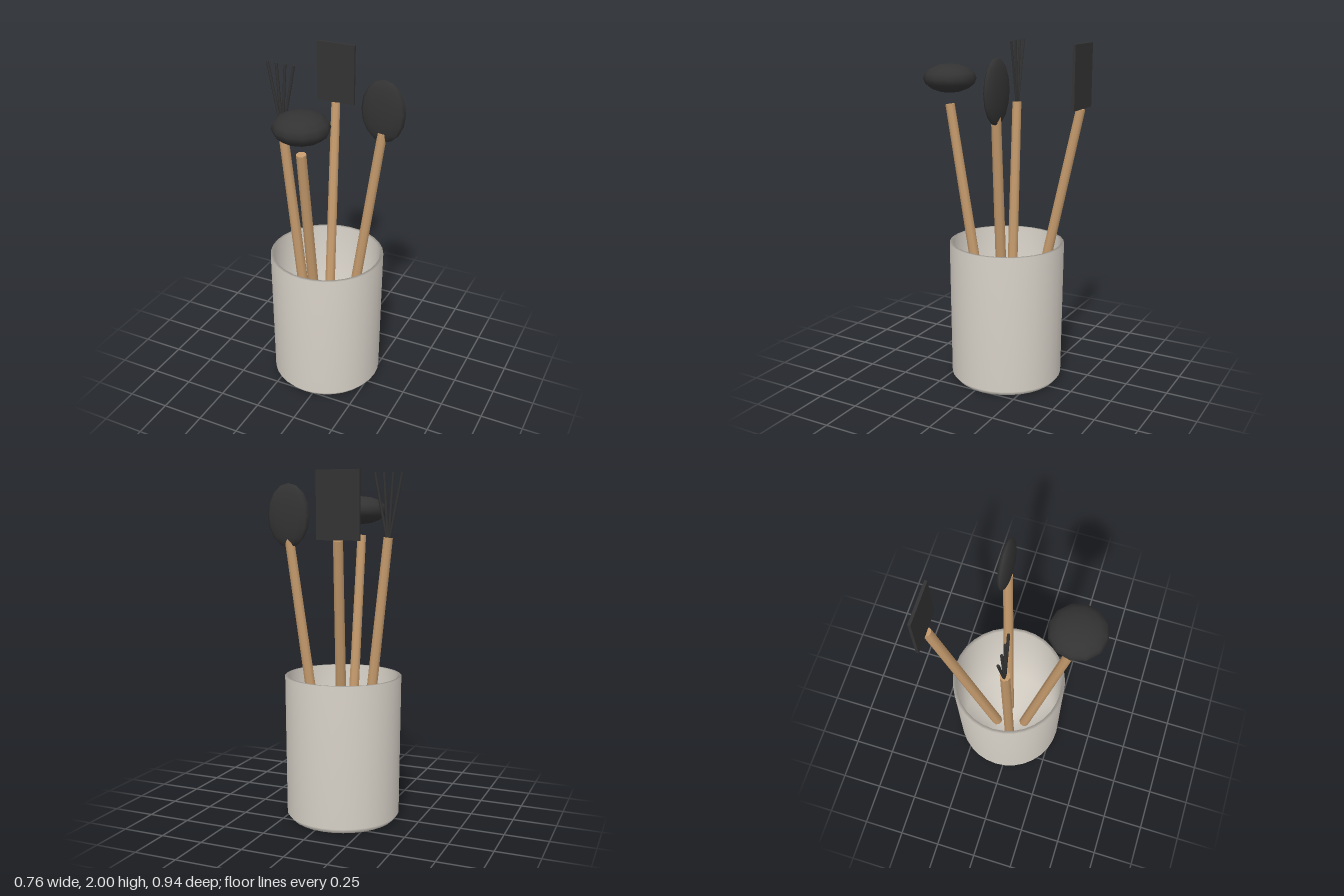
import * as THREE from 'three';

const ceramic = new THREE.MeshStandardMaterial({ color: 0xd8d2c8 });
ceramic.name = 'ceramic';
const wood = new THREE.MeshStandardMaterial({ color: 0xc49a6c });
wood.name = 'wood';
const black = new THREE.MeshStandardMaterial({ color: 0x333333 });
black.name = 'black';

const v = (x, y, z) => new THREE.Vector3(x, y, z);

function add(parent, name, geometry, material) {
  const mesh = new THREE.Mesh(geometry, material);
  mesh.name = name;
  parent.add(mesh);
  return mesh;
}

// Tapered round bar between two points
function rod(parent, name, from, to, r0, r1, sides, material) {
  const dir = to.clone().sub(from);
  const mesh = add(parent, name, new THREE.CylinderGeometry(r1, r0, dir.length(), sides), material);
  mesh.position.copy(from).add(to).multiplyScalar(0.5);
  mesh.quaternion.setFromUnitVectors(v(0, 1, 0), dir.normalize());
  return mesh;
}

// Flattened ball used for spoon bowls
function bowl(parent, name, center, rx, ry, rz) {
  const mesh = add(parent, name, new THREE.SphereGeometry(1, 12, 8).scale(rx, ry, rz), black);
  mesh.position.copy(center);
}

// A named utensil with its leaning wooden handle
function utensil(root, name, bottom, top) {
  const group = new THREE.Group();
  group.name = name;
  root.add(group);
  rod(group, name + 'Handle', bottom, top, 0.034, 0.028, 8, wood);
  return group;
}

export function createModel() {
  const root = new THREE.Group();
  root.name = 'utensilCrock';

  // Hollow crock: outer wall, rim, inner wall and floor
  const profile = [
    [0, 0.005], [0.305, 0.005], [0.33, 0.035], [0.337, 0.85],
    [0.317, 0.85], [0.308, 0.04], [0, 0.04],
  ].map(([r, y]) => new THREE.Vector2(r, y));
  const crock = add(root, 'crock', new THREE.LatheGeometry(profile, 32), ceramic);
  crock.position.set(-0.047, 0, -0.047);

  // Ladle-like spoon at the front
  const ladle = utensil(root, 'frontSpoon', v(-0.039, 0.04, 0.052), v(-0.017, 1.64, 0.315));
  bowl(ladle, 'frontSpoonBowl', v(-0.015, 1.79, 0.313), 0.155, 0.083, 0.155);

  // Upright spoon on the left
  const spoon = utensil(root, 'leftSpoon', v(0.037, 0.04, -0.08), v(0.25, 1.64, -0.136));
  bowl(spoon, 'leftSpoonBowl', v(0.25, 1.762, -0.14), 0.131, 0.18, 0.035);

  // Spatula at the back
  const spatula = utensil(root, 'spatula', v(-0.082, 0.04, -0.128), v(-0.18, 1.64, -0.44));
  const blade = add(spatula, 'spatulaBlade', new THREE.BoxGeometry(0.243, 0.36, 0.016), black);
  blade.position.set(-0.182, 1.82, -0.444);

  // Whisk on the right with four fanned tines
  const whisk = utensil(root, 'whisk', v(-0.137, 0.04, -0.024), v(-0.292, 1.64, 0.018));
  for (let i = 0; i < 4; i++) {
    const s = i - 1.5;
    rod(whisk, 'whiskTine', v(-0.292 + s * 0.005, 1.63, 0.016),
      v(-0.292 + s * 0.054, 2, 0.016), 0.008, 0.008, 6, black);
  }
  return root;
}
